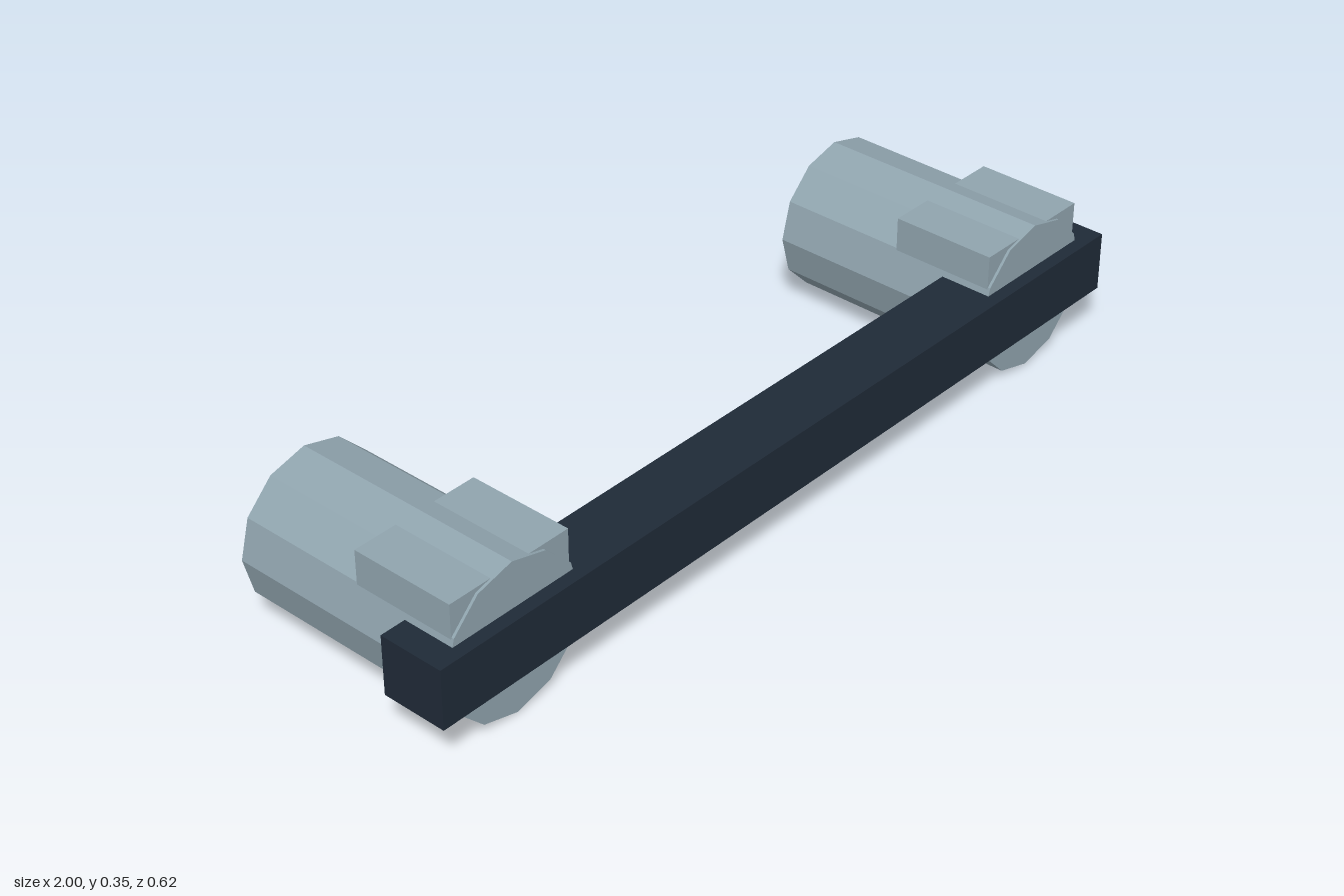
import * as THREE from 'three';

export function createModel() {
  const model = new THREE.Group();
  const mat = (name, color) => {
    const m = new THREE.MeshStandardMaterial({ color, flatShading: true });
    m.name = name;
    return m;
  };
  const grey = mat('blue grey metal', 0x90a4ae);
  const dark = mat('dark navy', 0x1f2a37);
  const teal = mat('teal glow', 0x4db89e);

  // Box given by its minimum and maximum corners
  function box(name, material, min, max, parent) {
    const size = max.map((v, i) => v - min[i]);
    const mesh = new THREE.Mesh(new THREE.BoxGeometry(...size), material);
    mesh.position.set(...max.map((v, i) => (v + min[i]) / 2));
    mesh.name = name;
    parent.add(mesh);
  }

  // Twelve-sided drum lying along z
  function drum(name, material, radius, z0, z1, parent) {
    const geometry = new THREE.CylinderGeometry(radius, radius, z1 - z0, 12).rotateX(Math.PI / 2);
    const mesh = new THREE.Mesh(geometry, material);
    mesh.position.set(0, 0.173, (z0 + z1) / 2);
    mesh.name = name;
    parent.add(mesh);
  }

  // Cross bar joining both thrusters
  box('crossBar', dark, [-1, 0.106, 0.157], [1, 0.242, 0.308], model);

  // One thruster on each side
  for (const side of [-1, 1]) {
    const thruster = new THREE.Group();
    thruster.name = side > 0 ? 'leftThruster' : 'rightThruster';
    thruster.position.x = side * 0.786;
    drum('body', grey, 0.173, -0.268, 0.278, thruster);
    box('topMount', grey, [-0.151, 0.21, 0.03], [0.151, 0.333, 0.272], thruster);
    drum('nozzleRim', dark, 0.131, -0.292, -0.271, thruster);
    drum('nozzleGlow', teal, 0.0935, -0.308, -0.299, thruster);
    model.add(thruster);
  }
  return model;
}
